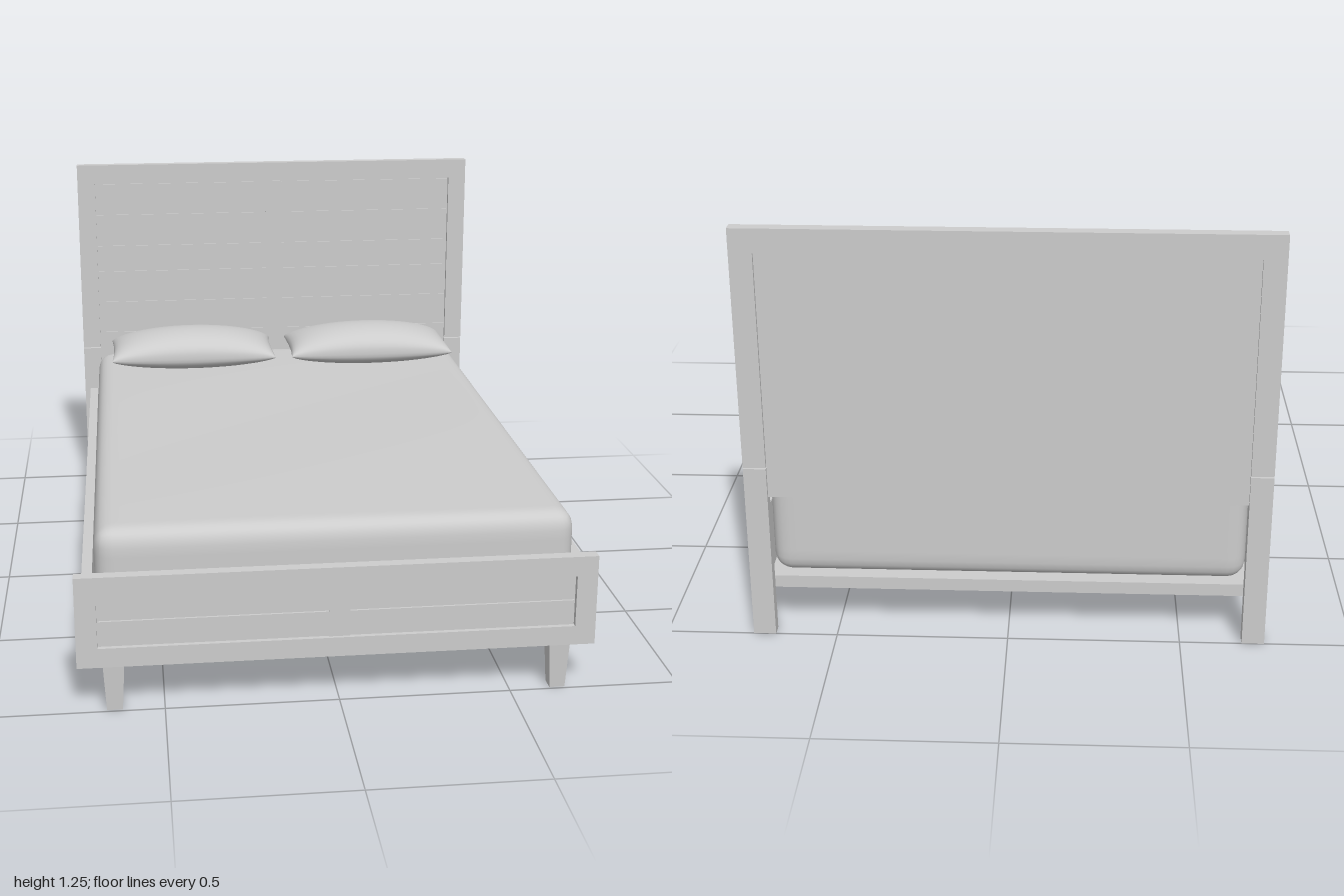
import * as THREE from 'three';
import { mergeVertices } from 'three/addons/utils/BufferGeometryUtils.js';

const grey = new THREE.MeshStandardMaterial({ color: 0xcccccc });
grey.name = 'plain grey';

// Box given by its minimum and maximum on each axis
function box(parent, name, x0, x1, y0, y1, z0, z1) {
  const mesh = new THREE.Mesh(new THREE.BoxGeometry(x1 - x0, y1 - y0, z1 - z0), grey);
  mesh.position.set((x0 + x1) / 2, (y0 + y1) / 2, (z0 + z1) / 2);
  mesh.name = name;
  parent.add(mesh);
  return mesh;
}

// The same box on both sides of x = 0
function pair(parent, name, x0, x1, ...rest) {
  box(parent, name + 'Left', x0, x1, ...rest);
  box(parent, name + 'Right', -x1, -x0, ...rest);
}

// Move every vertex of a 2 x 2 x 2 grid box by a rule, with rows gathered near the edges
function shaped(sx, sy, sz, rule) {
  const g = new THREE.BoxGeometry(2, 2, 2, sx, sy, sz);
  const p = g.attributes.position;
  const ease = t => Math.sin(t * Math.PI / 2);
  for (let i = 0; i < p.count; i++) {
    p.setXYZ(i, ...rule(ease(p.getX(i)), ease(p.getY(i)), ease(p.getZ(i))));
  }
  g.deleteAttribute('uv');
  g.deleteAttribute('normal');
  const merged = mergeVertices(g, 1e-5);
  merged.computeVertexNormals();
  return merged;
}

// Rows of planks, split by a centre stile, with narrow grooves between them
function planks(parent, halfWidth, seams, z0, z1) {
  const groove = 0.002;
  for (let i = 0; i < seams.length - 1; i++) {
    pair(parent, 'plank' + (i + 1), 0.03, halfWidth, seams[i] + groove, seams[i + 1] - groove, z0, z1);
  }
  box(parent, 'centreStile', -0.03, 0.03, seams[0], seams[seams.length - 1], z0, z1);
}

function makeHeadboard() {
  const g = new THREE.Group();
  g.name = 'headboard';
  pair(g, 'leg', 0.68, 0.745, 0, 0.537, -1, -0.965);
  pair(g, 'post', 0.68, 0.745, 0.541, 1.25, -1, -0.965);
  box(g, 'topRail', -0.68, 0.68, 1.18, 1.25, -1, -0.965);
  box(g, 'backPanel', -0.68, 0.68, 0.445, 1.18, -0.99, -0.979);
  planks(g, 0.677, [0.445, 0.6, 0.72, 0.84, 0.94, 1.06, 1.178], -0.979, -0.974);
  return g;
}

function makeFootboard() {
  const g = new THREE.Group();
  g.name = 'footboard';
  box(g, 'topRail', -0.745, 0.745, 0.35, 0.41, 0.965, 1);
  box(g, 'bottomRail', -0.745, 0.745, 0.137, 0.195, 0.965, 1);
  pair(g, 'stile', 0.685, 0.745, 0.195, 0.35, 0.965, 1);
  box(g, 'backPanel', -0.685, 0.685, 0.195, 0.35, 0.97, 0.983);
  planks(g, 0.682, [0.195, 0.274, 0.35], 0.983, 0.99);
  // Tapered square feet
  const foot = new THREE.CylinderGeometry(0.06 / Math.SQRT2, 0.045 / Math.SQRT2, 0.137, 4, 1)
    .rotateY(Math.PI / 4).toNonIndexed();
  foot.computeVertexNormals();
  for (const s of [1, -1]) {
    const mesh = new THREE.Mesh(foot, grey);
    mesh.position.set(s * 0.642, 0.0685, 0.969);
    mesh.name = s > 0 ? 'footLeft' : 'footRight';
    g.add(mesh);
  }
  return g;
}

function makeBase() {
  const g = new THREE.Group();
  g.name = 'base';
  pair(g, 'sideRail', 0.695, 0.725, 0.137, 0.375, -0.966, 0.966);
  box(g, 'headCrossRail', -0.695, 0.695, 0.137, 0.175, -0.965, -0.945);
  box(g, 'footCrossRail', -0.695, 0.695, 0.137, 0.175, 0.945, 0.965);
  box(g, 'platform', -0.695, 0.695, 0.152, 0.172, -0.945, 0.945);
  return g;
}

function makeMattress() {
  const half = [0.687, 0.177, 0.957], r = 0.055;
  const geo = shaped(40, 16, 48, (u, v, w) => {
    const p = new THREE.Vector3(u * half[0], v * half[1], w * half[2]);
    const inner = new THREE.Vector3(...half).subScalar(r);
    const core = p.clone().clamp(inner.clone().negate(), inner);
    const d = p.sub(core);
    if (d.lengthSq() > 0) core.addScaledVector(d.normalize(), r);
    // Soft, slightly uneven top
    if (v > 0) {
      const puff = (1 - u * u) * (1 - w * w);
      core.y += v * puff * (0.006 + 0.006 * Math.sin(3 * core.x + 4 * core.z - 1));
    }
    return core.toArray();
  });
  const mesh = new THREE.Mesh(geo, grey);
  mesh.position.set(0, 0.35, 0.002);
  mesh.name = 'mattress';
  return mesh;
}

// Cushion swelling from a seam, with sides drawn in between the pointed corners
function makePillowGeometry() {
  return shaped(28, 1, 24, (u, v, w) => {
    const swell = Math.pow(Math.max(0, 1 - u * u), 0.45) * Math.pow(Math.max(0, 1 - w * w), 0.4);
    return [
      u * 0.302 * (1 - 0.025 * (1 - w * w)),
      swell * (v > 0 ? 0.085 : -0.06),
      w * 0.155 * (1 - 0.05 * (1 - u * u)),
    ];
  });
}

export function createModel() {
  const model = new THREE.Group();
  model.name = 'bed';
  model.add(makeHeadboard(), makeFootboard(), makeBase(), makeMattress());
  const pillow = makePillowGeometry();
  for (const s of [1, -1]) {
    const mesh = new THREE.Mesh(pillow, grey);
    mesh.position.set(s * 0.332, 0.582, -0.745);
    mesh.name = s > 0 ? 'pillowLeft' : 'pillowRight';
    model.add(mesh);
  }
  return model;
}
